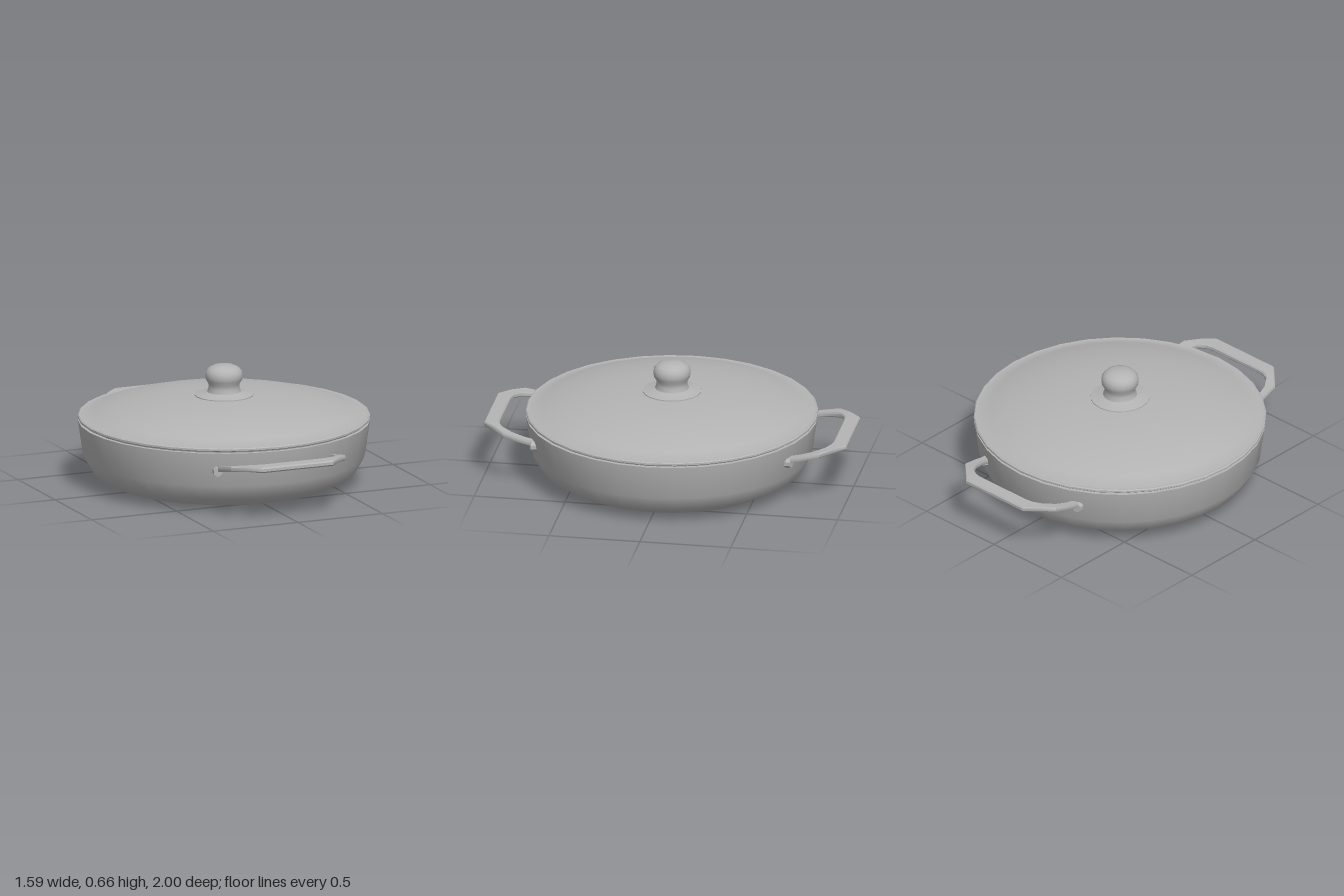
import * as THREE from 'three';
import { toCreasedNormals } from 'three/addons/utils/BufferGeometryUtils.js';

const steel = new THREE.MeshStandardMaterial({ color: 0xb4b4b4 });
steel.name = 'grey steel';

// Turned part from a [radius, height] profile running up the outside
function turned(name, profile, segments, crease) {
  const points = profile.map(([r, y]) => new THREE.Vector2(r, y));
  const mesh = new THREE.Mesh(toCreasedNormals(new THREE.LatheGeometry(points, segments), crease), steel);
  mesh.name = name;
  return mesh;
}

// Loop handle: a flat bevelled strap swept through [outerX, outerZ, innerX, innerZ] stations
function loopHandle() {
  const half = [
    [0.35, 0.68, 0.312, 0.68],
    [0.35, 0.77, 0.312, 0.76],
    [0.338, 0.87, 0.295, 0.822],
    [0.275, 0.935, 0.255, 0.885],
    [0.21, 0.998, 0.21, 0.91],
    [0.17, 0.998, 0.165, 0.917],
  ];
  const stations = [...half, ...half.slice().reverse().map(([a, b, c, d]) => [-a, b, -c, d])];
  // Bevelled cross-section: [outer to inner, bottom to top]
  const section = [[0.08, 0], [0, 0.25], [0, 0.75], [0.08, 1], [0.92, 1], [1, 0.75], [1, 0.25], [0.92, 0]];
  const n = section.length;
  const position = [];
  for (const [ox, oz, ix, iz] of stations) {
    for (const [t, s] of section) {
      const z = oz + (iz - oz) * t;
      const top = 0.327 - Math.max(0, 0.91 - z) * 0.21;
      position.push(ox + (ix - ox) * t, top - 0.03 * (1 - s), z);
    }
  }
  const index = [];
  for (let i = 0; i < stations.length - 1; i++) {
    for (let k = 0; k < n; k++) {
      const a = i * n + k, b = i * n + (k + 1) % n;
      index.push(a, b, b + n, a, b + n, a + n);
    }
  }
  const geometry = new THREE.BufferGeometry();
  geometry.setAttribute('position', new THREE.Float32BufferAttribute(position, 3));
  geometry.setIndex(index);

  const group = new THREE.Group();
  const strap = new THREE.Mesh(toCreasedNormals(geometry, 0.5), steel);
  strap.name = 'handleStrap';
  group.add(strap);

  // Mounting collars against the pot wall
  const collar = new THREE.CylinderGeometry(0.026, 0.033, 0.05, 8).rotateX(Math.PI / 2).rotateZ(Math.PI / 8);
  for (const side of [1, -1]) {
    const mount = new THREE.Mesh(toCreasedNormals(collar, 0.5), steel);
    mount.name = side > 0 ? 'leftMount' : 'rightMount';
    mount.position.set(side * 0.341, 0.256, 0.695);
    mount.rotation.y = side * 0.3;
    group.add(mount);
  }
  return group;
}

export function createModel() {
  const model = new THREE.Group();
  model.name = 'lidded pan';

  // Pot with rounded base and hollow inside
  model.add(turned('pot', [
    [0, 0.004], [0.3, 0.004], [0.48, 0.012], [0.63, 0.03], [0.72, 0.085], [0.765, 0.165],
    [0.792, 0.356], [0.772, 0.356], [0.745, 0.17], [0.7, 0.1], [0.6, 0.05], [0, 0.03],
  ], 32, 0.6));

  // Domed lid with a thin rim and an inner seat
  model.add(turned('lid', [
    [0.7, 0.385], [0.74, 0.34], [0.755, 0.34], [0.762, 0.365], [0.787, 0.365], [0.793, 0.37], [0.793, 0.38],
    [0.787, 0.385], [0.772, 0.382], [0.7, 0.408], [0.6, 0.437], [0.45, 0.467], [0.3, 0.484], [0.15, 0.492], [0, 0.494],
  ], 32, 0.6));

  // Knob with base flange, waist and rounded top
  model.add(turned('knob', [
    [0.16, 0.488], [0.16, 0.497], [0.11, 0.506], [0.092, 0.512], [0.084, 0.535], [0.086, 0.558], [0.098, 0.578],
    [0.102, 0.6], [0.098, 0.624], [0.083, 0.643], [0.055, 0.656], [0, 0.662],
  ], 20, 0.7));

  // Front and back handles
  const front = loopHandle();
  front.name = 'frontHandle';
  const back = loopHandle();
  back.name = 'backHandle';
  back.rotation.y = Math.PI;
  model.add(front, back);
  return model;
}
